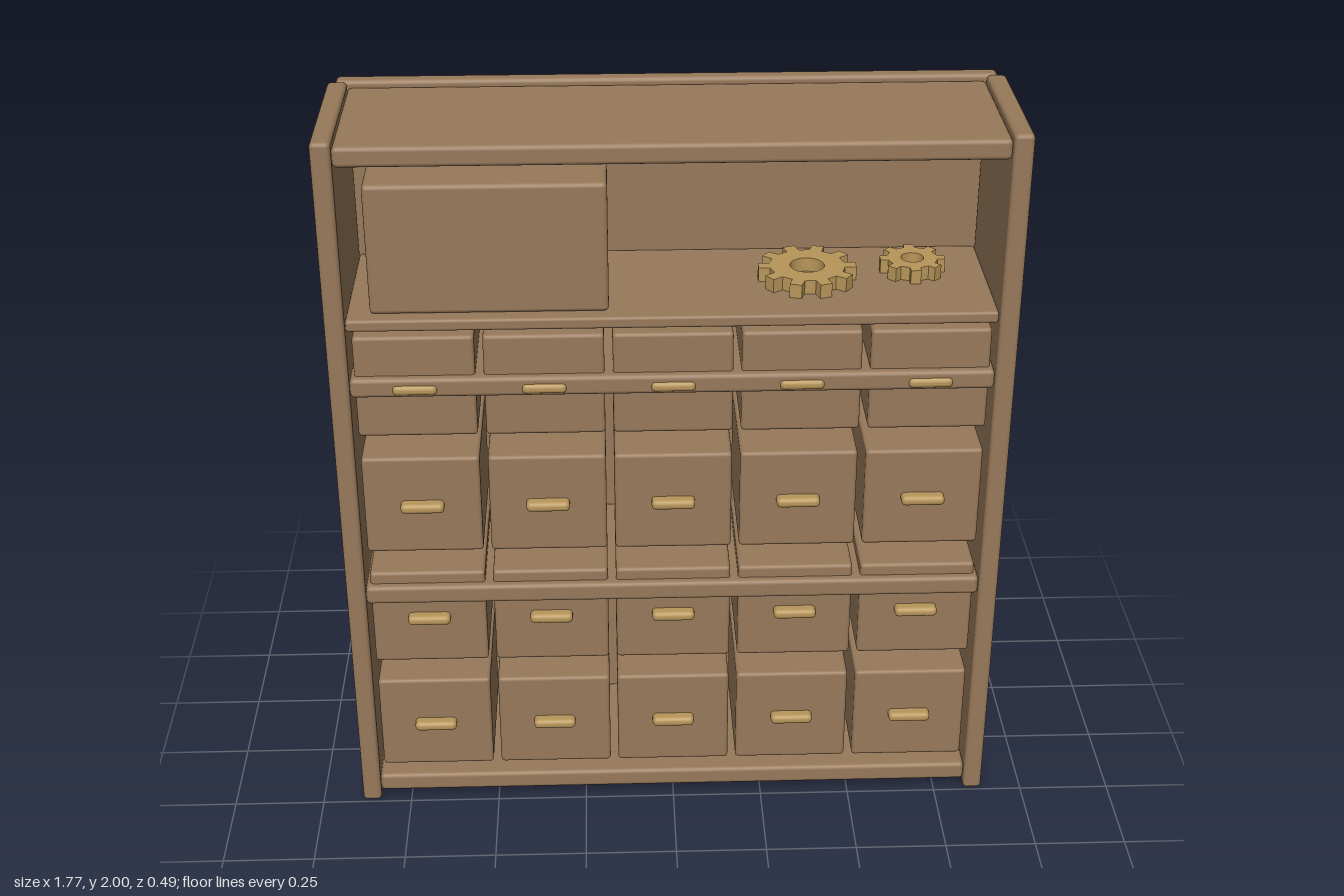
import * as THREE from 'three';
import { RoundedBoxGeometry } from 'three/addons/geometries/RoundedBoxGeometry.js';

const wood = new THREE.MeshStandardMaterial({ color: 0x98795a });
wood.name = 'brown wood';
const brass = new THREE.MeshStandardMaterial({ color: 0xb8965a });
brass.name = 'brass';

// Rounded box given by its extents on each axis
function block(name, [x0, x1], [y0, y1], [z0, z1], radius, material = wood) {
  const mesh = new THREE.Mesh(new RoundedBoxGeometry(x1 - x0, y1 - y0, z1 - z0, 2, radius), material);
  mesh.position.set((x0 + x1) / 2, (y0 + y1) / 2, (z0 + z1) / 2);
  mesh.name = name;
  return mesh;
}

// Toothed wheel lying flat, with a round hole
function gear(name, radius, teeth, height) {
  const shape = new THREE.Shape();
  const step = (Math.PI * 2) / teeth;
  const root = radius * 0.77;
  for (let i = 0; i < teeth; i++) {
    [[-0.27, root], [-0.2, radius], [0.2, radius], [0.27, root]].forEach(([t, r], k) => {
      const a = (i + t) * step;
      if (i + k === 0) shape.moveTo(Math.cos(a) * r, Math.sin(a) * r);
      else shape.lineTo(Math.cos(a) * r, Math.sin(a) * r);
    });
  }
  shape.closePath();
  const hole = new THREE.Path();
  hole.absarc(0, 0, radius * 0.35, 0, Math.PI * 2, true);
  shape.holes.push(hole);
  const geometry = new THREE.ExtrudeGeometry(shape, { depth: height, bevelEnabled: false, curveSegments: 12 });
  geometry.rotateX(-Math.PI / 2);
  const mesh = new THREE.Mesh(geometry, brass);
  mesh.name = name;
  return mesh;
}

export function createModel() {
  const cabinet = new THREE.Group();
  cabinet.name = 'drawerCabinet';

  // Carcass
  const inner = [-0.835, 0.835];
  cabinet.add(
    block('leftSide', [0.835, 0.887], [0.005, 2], [-0.203, 0.245], 0.012),
    block('rightSide', [-0.887, -0.835], [0.005, 2], [-0.203, 0.245], 0.012),
    block('backPanel', [-0.867, 0.867], [0.005, 2], [-0.248, -0.203], 0.012),
  );
  const boards = { bottomBoard: 0.058, lowerShelf: 0.69, upperShelf: 1.323, topBoard: 1.957 };
  for (const [name, y] of Object.entries(boards)) {
    cabinet.add(block(name, inner, [y - 0.027, y + 0.027], [-0.203, 0.235], 0.012));
  }
  cabinet.add(block('displayShelf', inner, [1.481, 1.513], [-0.203, 0.225], 0.008));

  // Four rows of five drawers, each with a brass pull
  for (let row = 0; row < 4; row++) {
    const y = 0.252 + row * 0.3547;
    for (let col = -2; col <= 2; col++) {
      const x = col * 0.334;
      const drawer = new THREE.Group();
      drawer.name = 'drawer';
      drawer.add(
        block('drawerBox', [x - 0.156, x + 0.156], [y - 0.144, y + 0.144], [-0.16, 0.213], 0.01),
        block('drawerPull', [x - 0.058, x + 0.058], [y - 0.012, y + 0.016], [0.2, 0.243], 0.012, brass),
      );
      cabinet.add(drawer);
    }
  }

  // Items on the display shelf
  cabinet.add(block('storageBox', [-0.775, -0.164], [1.513, 1.865], [-0.127, 0.19], 0.012));
  const largeGear = gear('largeGear', 0.13, 10, 0.038);
  largeGear.position.set(0.36, 1.513, 0);
  const smallGear = gear('smallGear', 0.087, 8, 0.038);
  smallGear.position.set(0.643, 1.513, -0.04);
  cabinet.add(largeGear, smallGear);

  return cabinet;
}
